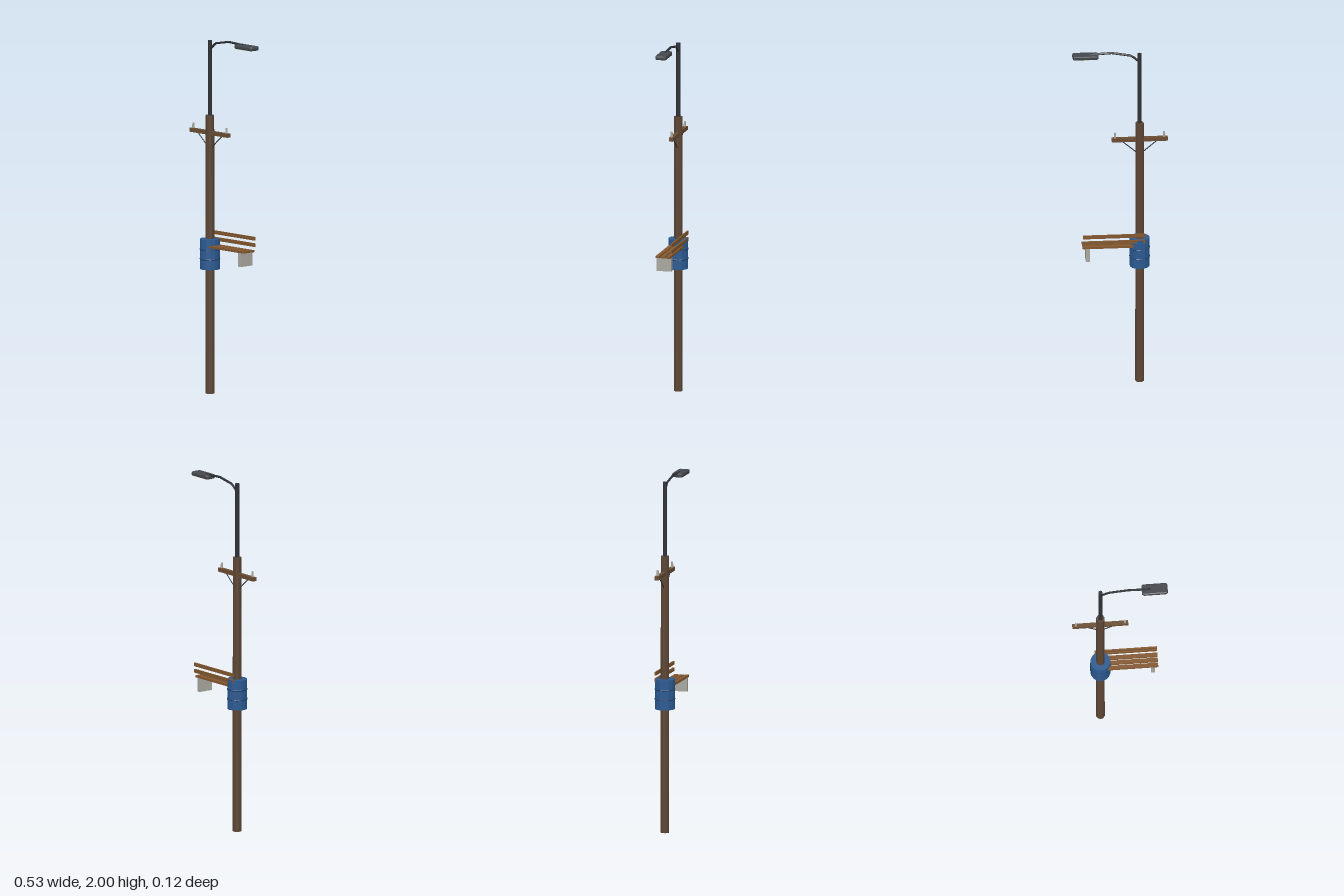
import * as THREE from 'three';

const POLE_X = -0.11;
const mat = (color) => new THREE.MeshStandardMaterial({ color, flatShading: true });

export function createModel() {
  const model = new THREE.Group();
  const wood = mat(0x5c4635), armWood = mat(0x6b4d33), slatWood = mat(0x83582f);
  const iron = mat(0x2e3135), lampGrey = mat(0x44474c), concrete = mat(0xaaa89f);
  const blue = mat(0x2b5a92), band = mat(0x1c3d66), glass = mat(0xcfc08a);

  const add = (name, geometry, material, x, y, z) => {
    const mesh = new THREE.Mesh(geometry, material);
    mesh.name = name;
    mesh.position.set(x, y, z);
    model.add(mesh);
    return mesh;
  };
  // box and upright cylinder given by their extents
  const box = (name, m, x0, x1, y0, y1, z0, z1) =>
    add(name, new THREE.BoxGeometry(x1 - x0, y1 - y0, z1 - z0), m, (x0 + x1) / 2, (y0 + y1) / 2, (z0 + z1) / 2);
  const post = (name, m, x, y0, y1, rTop, rBottom, sides) =>
    add(name, new THREE.CylinderGeometry(rTop, rBottom, y1 - y0, sides), m, x, (y0 + y1) / 2, 0);

  // Poles
  post('woodenPole', wood, POLE_X, 0, 1.565, 0.024, 0.025, 10);
  post('lampPole', iron, POLE_X, 1.55, 1.985, 0.012, 0.012, 8);

  // Crossarm with insulators and diagonal braces
  box('crossarm', armWood, -0.267, 0.045, 1.455, 1.477, -0.0115, 0.0115);
  for (const side of [-1, 1]) {
    post('insulator', concrete, POLE_X + side * 0.137, 1.477, 1.508, 0.006, 0.007, 6);
    const a = new THREE.Vector3(POLE_X + side * 0.1, 1.457, 0);
    const b = new THREE.Vector3(POLE_X + side * 0.015, 1.385, 0);
    const brace = new THREE.TubeGeometry(new THREE.LineCurve3(a, b), 1, 0.003, 5);
    add('crossarmBrace', brace, iron, 0, 0, 0);
  }

  // Barrel around the pole, with two raised bands
  post('barrel', blue, POLE_X, 0.7, 0.87, 0.056, 0.056, 14);
  for (const y of [0.757, 0.812]) {
    const ring = new THREE.TorusGeometry(0.056, 0.003, 5, 14).rotateX(Math.PI / 2).rotateY(Math.PI / 14 * 7);
    add('barrelBand', ring, band, POLE_X, y, 0);
  }

  // Bench: three seat slats, two back slats, one visible slab leg
  for (const z of [-0.03, 0, 0.03]) {
    box('seatSlat', slatWood, -0.138, 0.21, 0.825, 0.837, z - 0.0115, z + 0.0115);
  }
  for (const y of [0.864, 0.9]) {
    box('backSlat', slatWood, -0.138, 0.21, y - 0.01, y + 0.01, -0.052, -0.043);
  }
  box('benchLeg', concrete, 0.17, 0.192, 0.748, 0.826, -0.043, 0.043);

  // Curved lamp arm, bent from short straight pieces
  const path = new THREE.CurvePath();
  const points = [[-0.107, 1.937], [-0.065, 1.974], [0.045, 1.994], [0.17, 1.988]]
    .map(([x, y]) => new THREE.Vector3(x, y, 0));
  for (let i = 1; i < points.length; i++) path.add(new THREE.LineCurve3(points[i - 1], points[i]));
  add('lampArm', new THREE.TubeGeometry(path, 14, 0.0065, 6), iron, 0, 0, 0);

  // Lamp head: rounded plate with bevelled rims, and a light panel below
  const L = 0.0655, W = 0.025, r = 0.008;
  const outline = new THREE.Shape();
  outline.moveTo(-L + r, -W);
  outline.lineTo(L - r, -W);
  outline.quadraticCurveTo(L, -W, L, -W + r);
  outline.lineTo(L, W - r);
  outline.quadraticCurveTo(L, W, L - r, W);
  outline.lineTo(-L + r, W);
  outline.quadraticCurveTo(-L, W, -L, W - r);
  outline.lineTo(-L, -W + r);
  outline.quadraticCurveTo(-L, -W, -L + r, -W);
  const head = new THREE.ExtrudeGeometry(outline, {
    depth: 0.01, bevelEnabled: true, bevelThickness: 0.007, bevelSize: 0.007, bevelSegments: 2, curveSegments: 3,
  });
  head.rotateX(-Math.PI / 2);
  add('lampHead', head, lampGrey, 0.1925, 1.974, 0);
  box('lampPanel', glass, 0.135, 0.25, 1.965, 1.969, -0.023, 0.023);

  return model;
}
